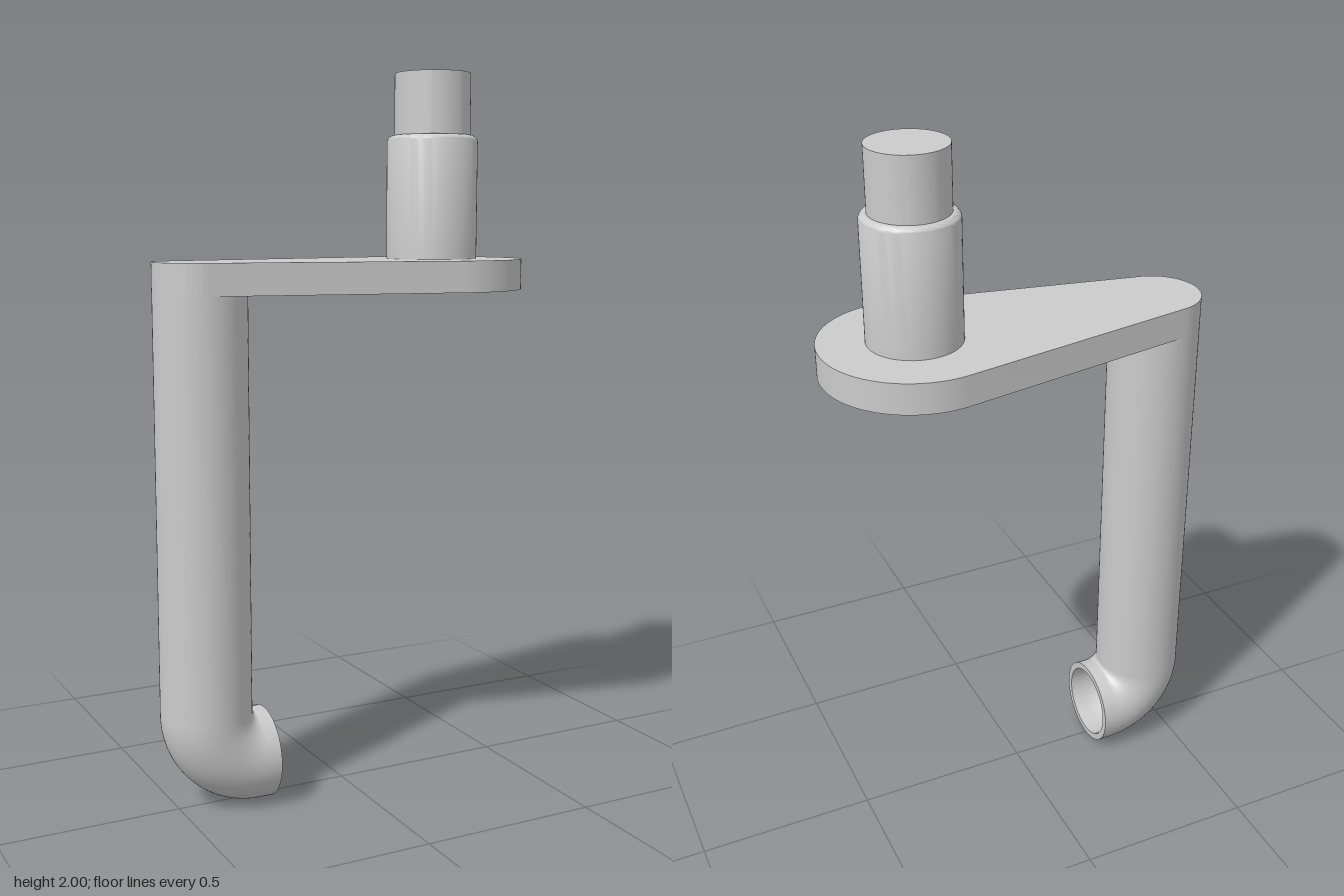
import * as THREE from 'three';
import { toCreasedNormals } from 'three/addons/utils/BufferGeometryUtils.js';

const SEG = 64;
const PIPE_X = -0.416, PIPE_R = 0.126, BORE_R = 0.107;
const BEND_R = 0.136, BEND_Y = 0.262, OUTLET_X = -0.245;
const SPINDLE_X = 0.286, PLATE_R = 0.254;
const PLATE_Y = 1.405, PLATE_TOP = 1.49;

export function createModel() {
  const model = new THREE.Group();
  const grey = new THREE.MeshStandardMaterial({ color: 0xcccccc });
  const inside = new THREE.MeshStandardMaterial({ color: 0xcccccc, side: THREE.DoubleSide });

  const add = (parent, name, geometry, material = grey) => {
    const mesh = new THREE.Mesh(geometry, material);
    mesh.name = name;
    parent.add(mesh);
    return mesh;
  };

  // Tapered plate: two arcs joined by their common tangents
  const d = SPINDLE_X - PIPE_X;
  const t = Math.PI / 2 + Math.asin((PLATE_R - PIPE_R) / d);
  const outline = new THREE.Shape();
  outline.absarc(SPINDLE_X, 0, PLATE_R, -t, t, false);
  outline.absarc(PIPE_X, 0, PIPE_R, t, 2 * Math.PI - t, false);
  const plate = new THREE.ExtrudeGeometry(outline, {
    depth: PLATE_TOP - PLATE_Y, bevelEnabled: false, curveSegments: 48,
  });
  plate.rotateX(-Math.PI / 2).translate(0, PLATE_Y, 0);
  add(model, 'crankPlate', toCreasedNormals(plate, 0.5));

  // Stepped spindle with a rounded shoulder
  const profile = [new THREE.Vector2(0.127, PLATE_TOP)];
  const f = 0.019;
  for (let i = 0; i <= 8; i++) {
    const a = (i / 8) * Math.PI / 2;
    profile.push(new THREE.Vector2(0.127 - f + f * Math.cos(a), 1.831 - f + f * Math.sin(a)));
  }
  profile.push(new THREE.Vector2(0.106, 1.831), new THREE.Vector2(0.106, 2), new THREE.Vector2(0, 2));
  const spindle = add(model, 'spindle', toCreasedNormals(new THREE.LatheGeometry(profile, SEG), 0.6));
  spindle.position.x = SPINDLE_X;

  // Pipe wall: upright run, quarter bend and short outlet
  const addWall = (name, r, material) => {
    const wall = new THREE.Group();
    wall.name = name;
    model.add(wall);
    const bendX = PIPE_X + BEND_R;

    const height = PLATE_Y - BEND_Y;
    const upright = new THREE.CylinderGeometry(r, r, height, SEG, 1, true);
    add(wall, name + 'Upright', upright.translate(PIPE_X, BEND_Y + height / 2, 0), material);

    const bend = new THREE.TorusGeometry(BEND_R, r, SEG, 32, Math.PI / 2);
    add(wall, name + 'Bend', bend.rotateZ(Math.PI).translate(bendX, BEND_Y, 0), material);

    const length = OUTLET_X - bendX;
    const outlet = new THREE.CylinderGeometry(r, r, length, SEG, 1, true);
    outlet.rotateZ(-Math.PI / 2).translate(bendX + length / 2, BEND_Y - BEND_R, 0);
    add(wall, name + 'Outlet', outlet, material);
  };
  addWall('pipe', PIPE_R, grey);
  addWall('bore', BORE_R, inside);

  // Rim closing the wall at the open end
  const rim = new THREE.RingGeometry(BORE_R, PIPE_R, SEG);
  add(model, 'outletRim', rim.rotateY(Math.PI / 2).translate(OUTLET_X, BEND_Y - BEND_R, 0));

  return model;
}
